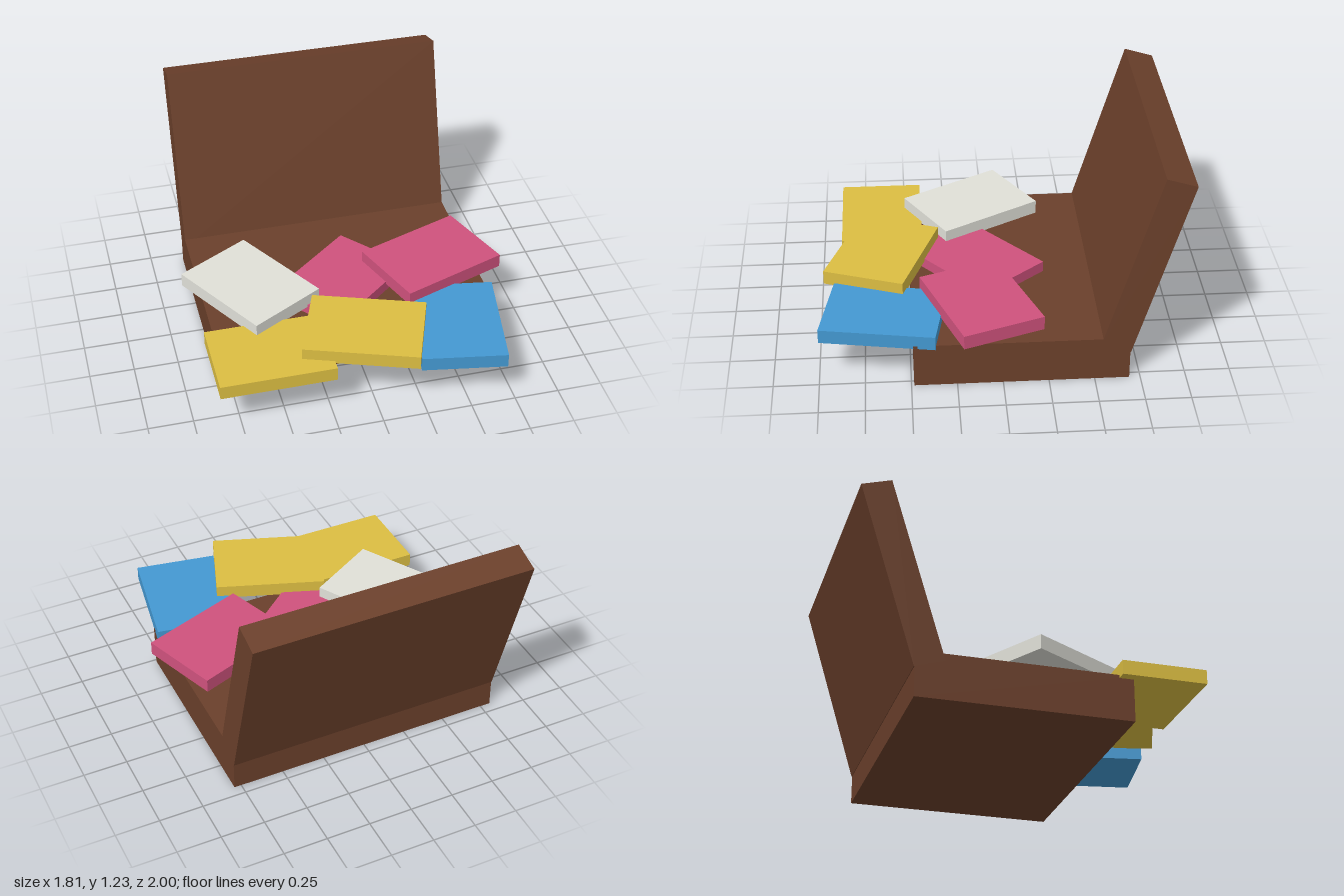
import * as THREE from 'three';

const material = (color) => new THREE.MeshStandardMaterial({ color, flatShading: true });

function box(name, size, position, mat) {
  const mesh = new THREE.Mesh(new THREE.BoxGeometry(...size), mat);
  mesh.name = name;
  mesh.position.set(...position);
  return mesh;
}

export function createModel() {
  const model = new THREE.Group();
  model.name = 'openCase';
  const brown = material(0x6b402b);
  const yellow = material(0xdcbe42);
  const pink = material(0xcf527d);
  const blue = material(0x4499d2);
  const white = material(0xe0e0d8);

  // Solid case body
  model.add(box('caseBase', [1.6, 0.255, 1.175], [-0.01, 0.1275, -0.1025], brown));

  // Lid leaning back, its lower end sunk into the body
  const lean = 0.293, length = 1.06;
  const lid = box('lid', [1.6, length, 0.172],
    [-0.01, 1.205 - Math.cos(lean) * length / 2, -0.9175 + Math.sin(lean) * length / 2], brown);
  lid.rotation.x = -lean;
  model.add(lid);

  // Flat packets in two rows: name, material, x, y, z, turn in degrees
  const low = 0.278, high = 0.344;
  const packets = [
    ['whitePacket', white, -0.545, high, 0.107, 60],
    ['pinkPacketLower', pink, -0.013, low, 0.107, 140],
    ['pinkPacketUpper', pink, 0.522, high, 0.105, -20],
    ['yellowPacketLower', yellow, -0.545, low, 0.64, 0],
    ['yellowPacketUpper', yellow, -0.013, high, 0.642, 20],
    ['bluePacket', blue, 0.52, low, 0.64, 100],
  ];
  for (const [name, mat, x, y, z, turn] of packets) {
    const packet = box(name, [0.64, 0.08, 0.47], [x, y, z], mat);
    packet.rotation.y = -THREE.MathUtils.degToRad(turn);
    model.add(packet);
  }
  return model;
}
